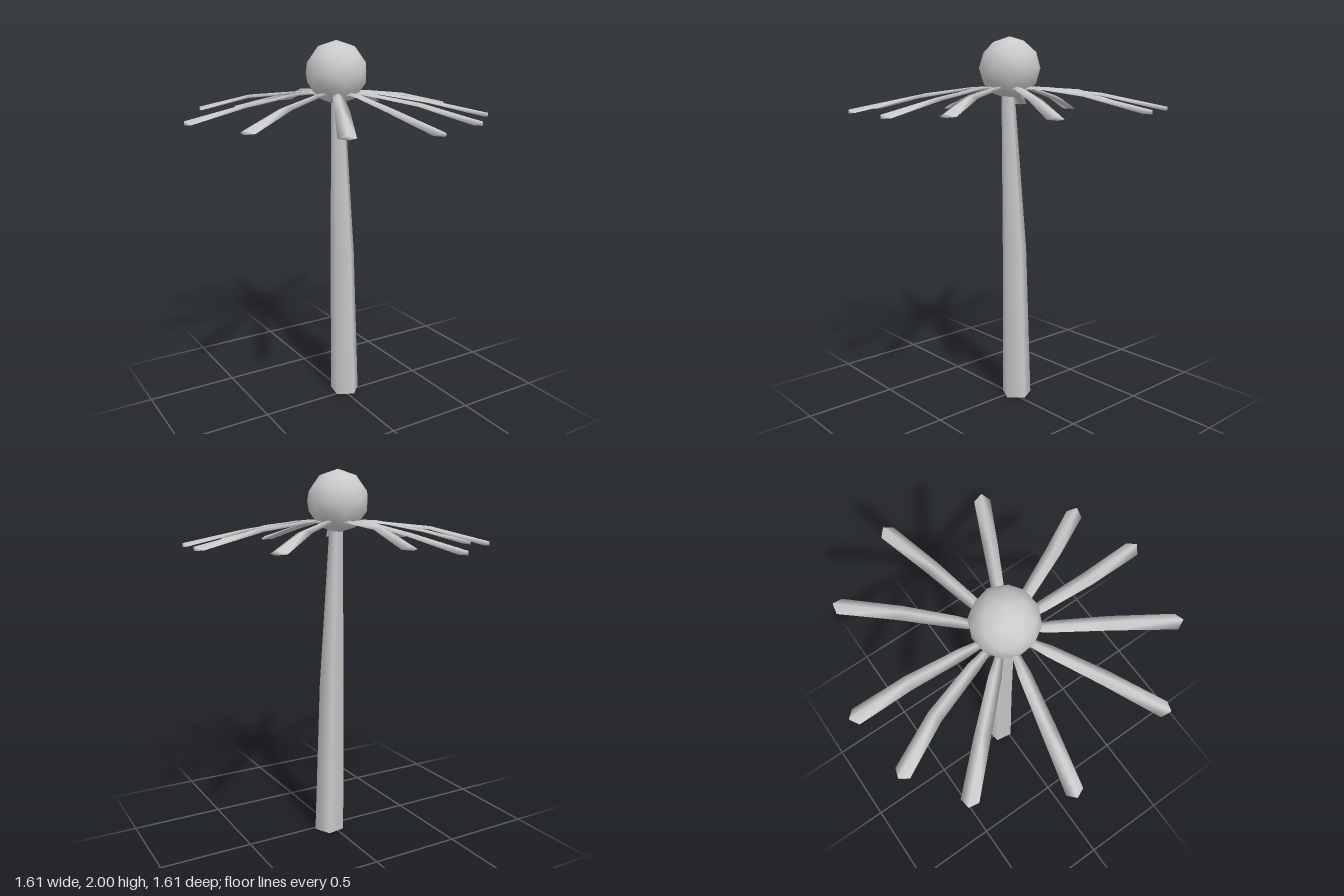
import * as THREE from 'three';

const grey = new THREE.MeshStandardMaterial({ color: 0xcccccc });

const CX = -0.034, CZ = -0.025; // axis of the flower head

function mesh(name, geometry) {
  const m = new THREE.Mesh(geometry, grey);
  m.name = name;
  return m;
}

// Five-sided tapering stem that leans, in two bent sections
function stemGeometry() {
  const rings = [ // y, centre x, centre z, radius
    [0, 0.02, -0.029, 0.084],
    [0.85, 0.003, -0.026, 0.069],
    [1.72, -0.033, -0.011, 0.037],
  ];
  const geo = new THREE.CylinderGeometry(1, 1, 1, 5, 2, false, Math.PI * 1.25);
  const p = geo.attributes.position;
  for (let i = 0; i < p.count; i++) {
    const [y, cx, cz, r] = rings[Math.round((p.getY(i) + 0.5) * 2)];
    p.setXYZ(i, cx + p.getX(i) * r, y, cz + p.getZ(i) * r);
  }
  return geo;
}

// Flat closed petal with a ridge, drooping from the head to a pointed tip;
// bend shifts its middle sideways
function petalGeometry(tipX, tipZ, tipY, bend = 0) {
  const dx = tipX - CX, dz = tipZ - CZ;
  const length = Math.hypot(dx, dz);
  const ux = dx / length, uz = dz / length;
  const sections = [ // distance, ridge height, half width, thickness, ridge overhang, side shift
    [0.07, 1.725, 0.015, 0.01, 0, 0],
    [0.14, 1.742, 0.021, 0.012, 0, bend / 3],
    [0.22, 1.738, 0.03, 0.014, 0, bend / 2],
    [0.49, tipY + 0.08, 0.037, 0.018, 0, bend],
    [length - 0.02, tipY + 0.008, 0.041, 0.02, 0.03, 0],
  ];
  const loop = [[-1, -0.8, 0], [0, 0, 1], [1, -0.8, 0], [0, -1, 1]]; // side, height, on ridge
  const n = loop.length;
  const pos = [], index = [];
  sections.forEach(([d, y, w, thick, over, shift], i) => {
    loop.forEach(([side, h, ridge], j) => {
      const r = d + over * ridge, s = w * side + shift;
      pos.push(CX + ux * r - uz * s, y + thick * h, CZ + uz * r + ux * s);
      if (i < sections.length - 1) {
        const a = i * n + j, b = i * n + (j + 1) % n;
        index.push(a, b, a + n, b, b + n, a + n);
      }
    });
  });
  const end = (sections.length - 1) * n;
  index.push(end, end + 1, end + 3, end + 1, end + 2, end + 3);
  const geo = new THREE.BufferGeometry();
  geo.setAttribute('position', new THREE.Float32BufferAttribute(pos, 3));
  geo.setIndex(index);
  geo.computeVertexNormals();
  return geo;
}

export function createModel() {
  const model = new THREE.Group();
  model.name = 'flower';

  model.add(mesh('stem', stemGeometry()));

  // Round centre of the flower
  const head = mesh('head', new THREE.IcosahedronGeometry(0.164, 1));
  head.position.set(CX, 1.838, CZ);
  head.rotation.y = 0.3;
  model.add(head);

  // Shallow cup where the petals join the stem
  const cupProfile = [[0, 1.69], [0.06, 1.695], [0.105, 1.725], [0.1, 1.745], [0, 1.75]];
  const cup = mesh('cup', new THREE.LatheGeometry(cupProfile.map(([r, y]) => new THREE.Vector2(r, y)), 10));
  cup.position.set(CX, 0, CZ);
  model.add(cup);

  // Petals: tip x, tip z, tip y, sideways bend
  const tips = [
    [0.047, -0.80, 1.645], [0.58, -0.575, 1.63], [0.795, -0.165, 1.63], [0.685, 0.34, 1.615],
    [0.34, 0.675, 1.625, 0.012], [0.015, 0.795, 1.612, 0.013], [-0.425, 0.715, 1.62], [-0.735, 0.38, 1.625],
    [-0.80, -0.185, 1.61], [-0.57, -0.59, 1.635], [-0.288, -0.765, 1.61, 0.025],
  ];
  const petals = new THREE.Group();
  petals.name = 'petals';
  tips.forEach((tip) => petals.add(mesh('petal', petalGeometry(...tip))));
  model.add(petals);

  return model;
}
